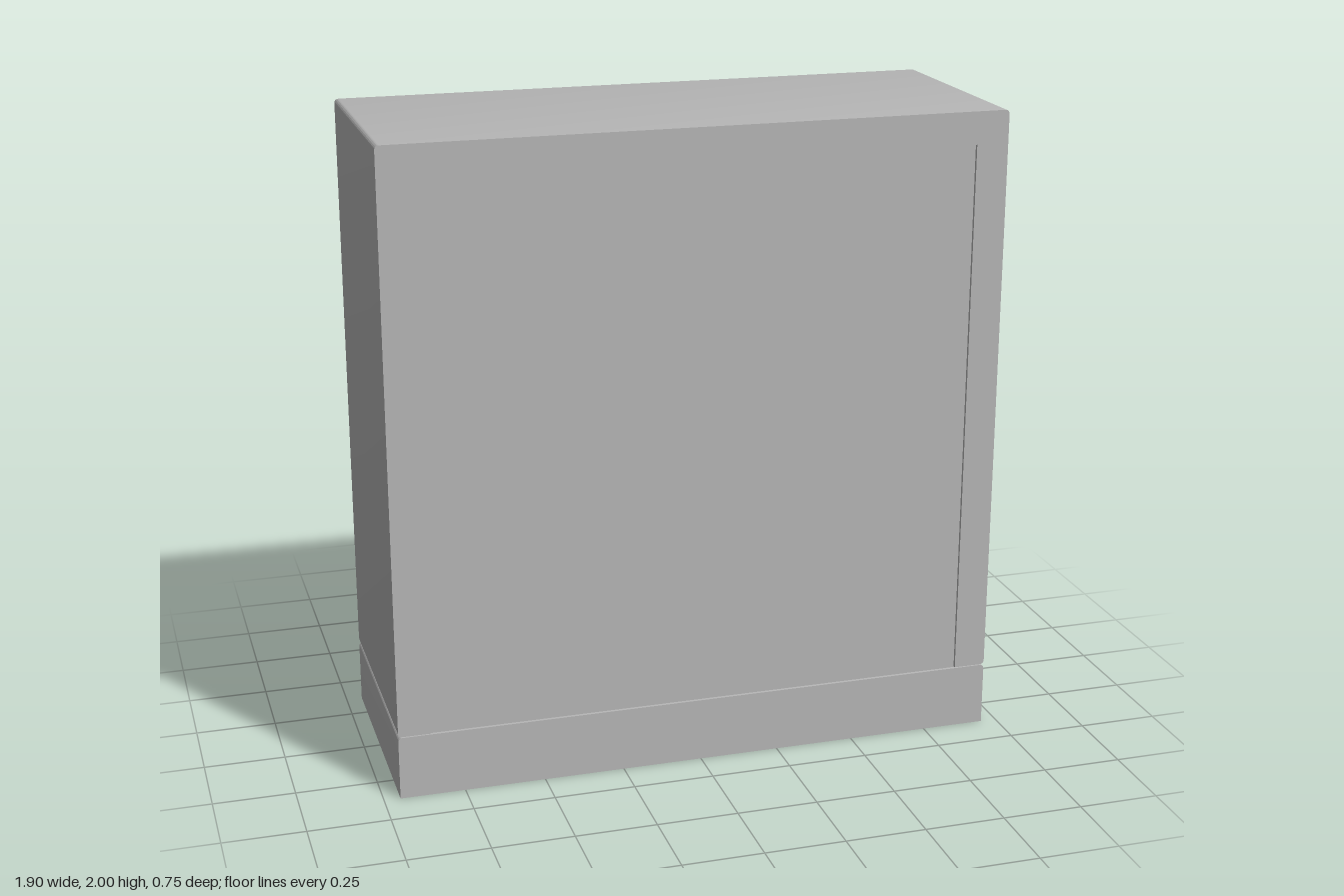
import * as THREE from 'three';
import { toCreasedNormals } from 'three/addons/utils/BufferGeometryUtils.js';

const W = 0.95, D = 0.375, R = 0.014, B = 0.011;

export function createModel() {
  const group = new THREE.Group();
  group.name = 'cabinet';
  const grey = new THREE.MeshStandardMaterial({ color: 0xb8b8b8, side: THREE.DoubleSide });
  grey.name = 'plain grey';

  const add = (geometry, name) => {
    const mesh = new THREE.Mesh(geometry, grey);
    mesh.name = name;
    group.add(mesh);
    return mesh;
  };

  // Box given by its limits on each axis
  const block = (name, x0, x1, y0, y1, z0, z1) => {
    const g = new THREE.BoxGeometry(x1 - x0, y1 - y0, z1 - z0);
    add(g, name).position.set((x0 + x1) / 2, (y0 + y1) / 2, (z0 + z1) / 2);
  };

  // Extrude over z0..z1 with rounded edges at z0 and a square cut at z1
  const softExtrude = (shape, z0, z1, b = B) => {
    const g = new THREE.ExtrudeGeometry(shape, {
      depth: z1 - z0 - b, bevelThickness: b, bevelSize: b, bevelOffset: -b, bevelSegments: 3, curveSegments: 4,
    });
    g.translate(0, 0, z0 + b);
    const p = g.attributes.position;
    for (let i = 0; i < p.count; i++) p.setZ(i, Math.min(p.getZ(i), z1));
    return g;
  };

  const rect = (x0, x1, y0, y1, Type = THREE.Shape) => {
    const s = new Type();
    s.moveTo(x0, y0); s.lineTo(x1, y0); s.lineTo(x1, y1); s.lineTo(x0, y1); s.closePath();
    return s;
  };

  // Outer case: two sides and a top, rounded at the outer corners
  const u = new THREE.Shape();
  u.moveTo(0.85, 0.203);
  u.lineTo(W - R, 0.203);
  u.quadraticCurveTo(W, 0.203, W, 0.203 + R);
  u.lineTo(W, 2 - R);
  u.quadraticCurveTo(W, 2, W - R, 2);
  u.lineTo(-W + R, 2);
  u.quadraticCurveTo(-W, 2, -W, 2 - R);
  u.lineTo(-W, 0.203 + R);
  u.quadraticCurveTo(-W, 0.203, -W + R, 0.203);
  u.lineTo(-0.85, 0.203);
  u.lineTo(-0.85, 1.9);
  u.lineTo(0.85, 1.9);
  u.closePath();
  add(toCreasedNormals(softExtrude(u, -D, D), 0.6), 'outerCase');

  // Plinth: rounded on top, hollow and open underneath
  const p = new THREE.Shape();
  p.moveTo(-W, -0.1);
  p.lineTo(W, -0.1);
  p.lineTo(W, 0.2 - R);
  p.quadraticCurveTo(W, 0.2, W - R, 0.2);
  p.lineTo(-W + R, 0.2);
  p.quadraticCurveTo(-W, 0.2, -W, 0.2 - R);
  p.closePath();
  const full = softExtrude(p, -D, D).attributes.position;
  const kept = [];
  for (let i = 0; i < full.count; i += 3) {
    const ys = [0, 1, 2].map((k) => full.getY(i + k));
    if (Math.max(...ys) <= 0) continue;
    for (let k = 0; k < 3; k++) kept.push(full.getX(i + k), Math.max(ys[k], 0), full.getZ(i + k));
  }
  const plinth = new THREE.BufferGeometry();
  plinth.setAttribute('position', new THREE.Float32BufferAttribute(kept, 3));
  add(toCreasedNormals(plinth, 0.6), 'plinth');
  block('plinthInnerRail', -0.94, 0.94, 0.135, 0.195, 0.285, 0.37);

  // Large plain panel set just inside the case
  block('plainPanel', -0.85, 0.85, 0.2, 1.9, D - 0.04, D - 0.01);

  // Rail between the upper and lower doors
  add(toCreasedNormals(softExtrude(rect(-0.855, 0.855, 0.755, 0.855), -0.36, -0.22), 0.6), 'middleRail');

  // Upper sliding doors with a sunken field
  const upperDoor = (name, x0, x1, z) => {
    const frame = rect(x0, x1, 0.84, 1.9);
    frame.holes.push(rect(x0 + 0.1, x1 - 0.1, 0.915, 1.838, THREE.Path));
    const g = new THREE.ExtrudeGeometry(frame, { depth: 0.03, bevelEnabled: false });
    g.translate(0, 0, z);
    add(g, name + 'Frame');
    block(name + 'Field', x0 + 0.09, x1 - 0.09, 0.9, 1.85, z + 0.012, z + 0.025);
  };
  upperDoor('upperLeftDoor', 0, 0.85, -D + 0.055);
  upperDoor('upperRightDoor', -0.85, 0, -D + 0.037);

  // Lower sliding doors, one running behind the other
  block('lowerLeftDoor', 0.0, 0.85, 0.2, 0.77, -D + 0.088, -D + 0.11);
  block('lowerRightDoor', -0.85, 0.05, 0.2, 0.77, -D + 0.037, -D + 0.087);

  return group;
}
